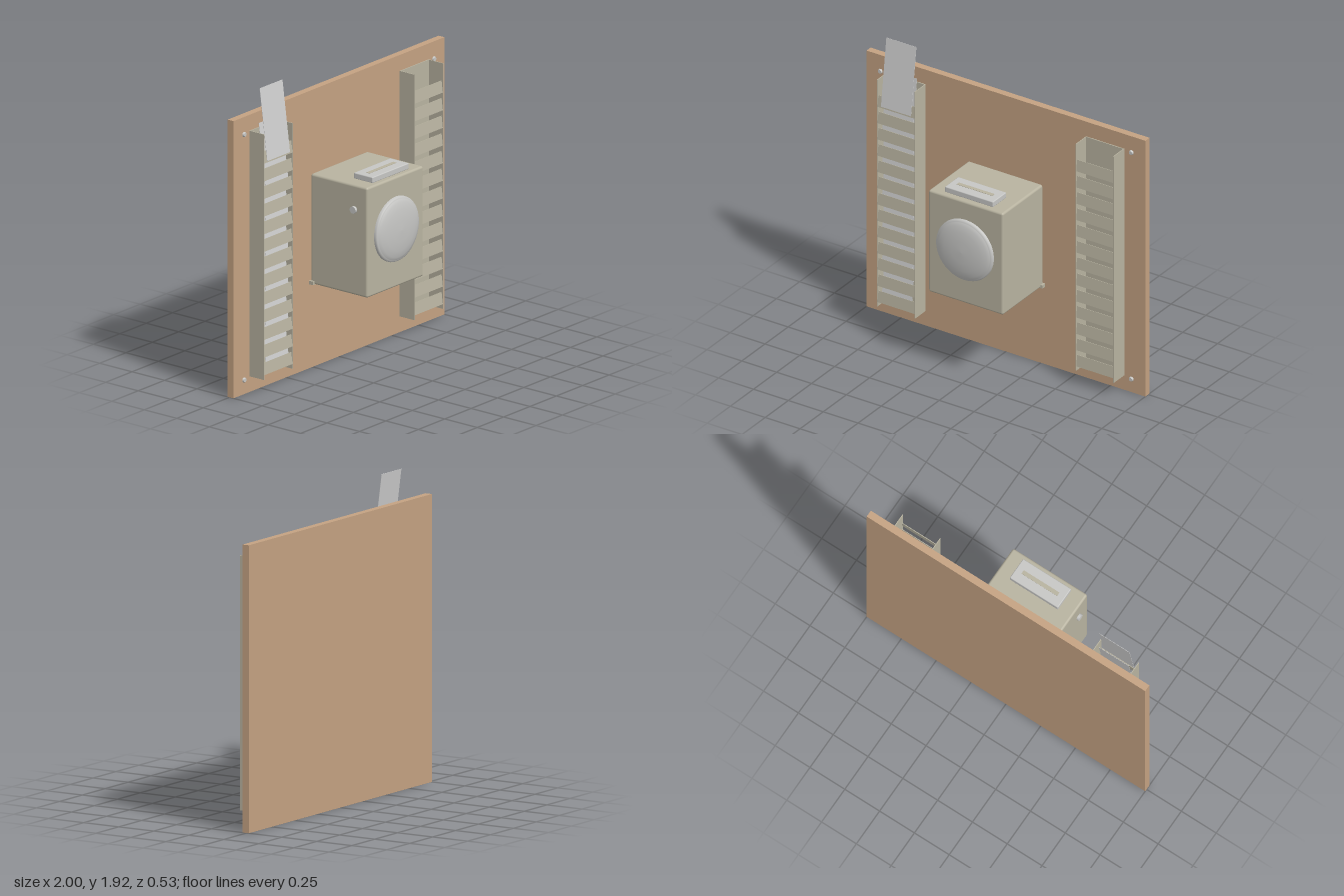
import * as THREE from 'three';
import { RoundedBoxGeometry } from 'three/addons/geometries/RoundedBoxGeometry.js';

export function createModel() {
  const root = new THREE.Group();
  root.name = 'timeClockBoard';

  const material = (name, color, side = THREE.FrontSide) => {
    const m = new THREE.MeshStandardMaterial({ color, side });
    m.name = name;
    return m;
  };
  const wood = material('wood', 0xc4a282);
  const enamel = material('beige enamel', 0xb8b3a0);
  const metal = material('light metal', 0xc6c6c4);
  const paper = material('card paper', 0xcfcfcf, THREE.DoubleSide);

  const add = (parent, name, geometry, mat, x, y, z) => {
    const mesh = new THREE.Mesh(geometry, mat);
    mesh.name = name;
    mesh.position.set(x, y, z);
    parent.add(mesh);
    return mesh;
  };
  const box = (parent, name, mat, w, h, d, x, y, z) =>
    add(parent, name, new THREE.BoxGeometry(w, h, d), mat, x, y, z);

  // Backing board with corner screws
  box(root, 'board', wood, 2, 1.75, 0.045, 0, 0.875, -0.2425);
  for (const x of [-0.9, 0.9]) {
    for (const y of [0.09, 1.64]) {
      const screw = add(root, 'screw', new THREE.CylinderGeometry(0.012, 0.016, 0.01, 20), metal, x, y, -0.215);
      screw.rotation.x = Math.PI / 2;
    }
  }

  // Card racks: back plate, two side walls and thirteen leaning slats
  const makeRack = (name, x) => {
    const rack = new THREE.Group();
    rack.name = name;
    rack.position.x = x;
    root.add(rack);
    box(rack, 'rackBack', enamel, 0.275, 1.55, 0.006, 0, 0.875, -0.217);
    for (const s of [-1, 1]) {
      box(rack, 'rackWall', enamel, 0.005, 1.55, 0.115, s * 0.135, 0.875, -0.1625);
    }
    for (let i = 0; i < 13; i++) {
      const slat = box(rack, 'slat', enamel, 0.267, 0.075, 0.004, 0, 1.5025 - i * 0.1113, -0.113);
      slat.rotation.x = -0.13;
    }
    return rack;
  };
  const cardRack = makeRack('cardRack', -0.7125);
  makeRack('emptyRack', 0.7125);

  // Cards leaning back in the right-hand rack
  for (const bottom of [1.475, 1.255, 1.04, 0.82, 0.6, 0.38, 0.16]) {
    const first = bottom > 1.4;
    const card = box(cardRack, 'card', paper, 0.215, 0.45, 0.002, 0, bottom + 0.223, first ? -0.135 : -0.142);
    card.rotation.x = -0.13;
  }

  // Clock housing with mounting tabs
  const clock = new THREE.Group();
  clock.name = 'clock';
  root.add(clock);
  add(clock, 'housing', new RoundedBoxGeometry(0.535, 0.695, 0.435, 3, 0.014), enamel, 0, 0.8775, -0.0025);
  for (const s of [-1, 1]) {
    box(clock, 'mountingTab', enamel, 0.03, 0.022, 0.03, s * 0.267, 0.541, -0.205);
  }

  // Domed dial set in a rounded bezel
  const profile = [[0.203, 0], [0.203, 0.012], [0.199, 0.02], [0.191, 0.021], [0.188, 0.024],
    [0.17, 0.033], [0.13, 0.042], [0.07, 0.049], [0, 0.051]];
  const dial = add(clock, 'dial', new THREE.LatheGeometry(
    profile.map(([r, h]) => new THREE.Vector2(r, h)), 64), metal, 0, 0.9, 0.214);
  dial.rotation.x = Math.PI / 2;

  // Card slot plate on top
  add(clock, 'slotPlate', new RoundedBoxGeometry(0.346, 0.038, 0.145, 2, 0.006), metal, 0, 1.242, 0.107);
  box(clock, 'slot', enamel, 0.256, 0.003, 0.026, 0, 1.2615, 0.107);

  // Side lock
  const lock = add(clock, 'lock', new THREE.CylinderGeometry(0.022, 0.022, 0.02, 24), metal, -0.274, 1.07, 0.115);
  lock.rotation.z = Math.PI / 2;

  return root;
}
